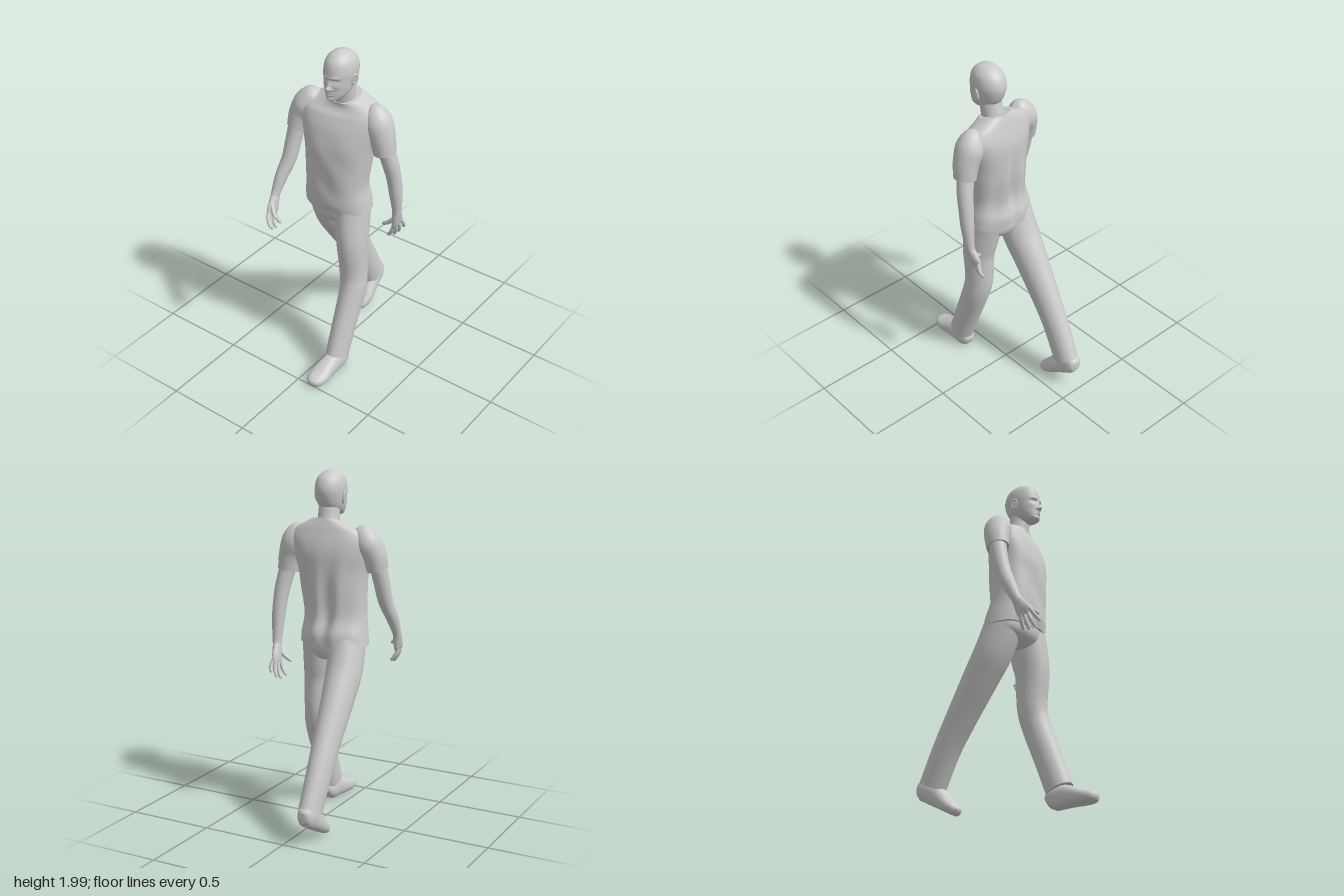
import * as THREE from 'three';

const material = new THREE.MeshStandardMaterial({ color: 0xcccccc, side: THREE.DoubleSide });

function spline(a, b, c, d, t) {
  return 0.5 * (2 * b + (c - a) * t + (2 * a - 5 * b + 4 * c - d) * t * t + (3 * b - a - 3 * c + d) * t * t * t);
}

// Smooth skin over rings [x, y, z, halfWidth, halfDepth, yaw]; rings lie across the path, or level if asked
function loft(name, rings, { level = false, seg = 32, steps = 8, power = 2, deform } = {}) {
  const rows = [];
  const at = (i) => rings[Math.min(Math.max(i, 0), rings.length - 1)];
  for (let i = 0; i < (rings.length - 1) * steps + 1; i++) {
    const k = Math.min(Math.floor(i / steps), rings.length - 2);
    const t = i / steps - k;
    rows.push([0, 1, 2, 3, 4, 5].map((c) =>
      spline(at(k - 1)[c] || 0, at(k)[c] || 0, at(k + 1)[c] || 0, at(k + 2)[c] || 0, t)));
  }
  const pos = [], index = [];
  const centre = (r) => new THREE.Vector3(r[0], r[1], r[2]);
  rows.forEach((r, i) => {
    const next = rows[Math.min(i + 1, rows.length - 1)], prev = rows[Math.max(i - 1, 0)];
    const along = level ? new THREE.Vector3(0, Math.sign(next[1] - prev[1]), 0)
      : centre(next).sub(centre(prev)).normalize();
    const side = new THREE.Vector3(Math.cos(r[5]), 0, -Math.sin(r[5]));
    side.addScaledVector(along, -side.dot(along)).normalize();
    const front = side.clone().cross(along);
    for (let j = 0; j < seg; j++) {
      const a = (j / seg) * Math.PI * 2, c = Math.cos(a), s = Math.sin(a);
      const p = centre(r)
        .addScaledVector(side, Math.sign(c) * Math.abs(c) ** (2 / power) * r[3])
        .addScaledVector(front, Math.sign(s) * Math.abs(s) ** (2 / power) * r[4]);
      if (deform) deform(p, r);
      pos.push(p.x, p.y, p.z);
      if (i < rows.length - 1) {
        const q = i * seg + j, n = i * seg + (j + 1) % seg;
        index.push(q, q + seg, n, n, q + seg, n + seg);
      }
    }
  });
  // Flat ends with their own vertices, so the rims stay crisp
  for (const [row, flip] of [[0, false], [rows.length - 1, true]]) {
    const start = pos.length / 3, mid = [0, 0, 0];
    for (let j = 0; j < seg; j++) {
      for (let c = 0; c < 3; c++) {
        const v = pos[(row * seg + j) * 3 + c];
        pos.push(v);
        mid[c] += v / seg;
      }
    }
    pos.push(...mid);
    for (let j = 0; j < seg; j++) {
      const a = start + j, b = start + (j + 1) % seg;
      index.push(start + seg, flip ? b : a, flip ? a : b);
    }
  }
  const g = new THREE.BufferGeometry();
  g.setAttribute('position', new THREE.Float32BufferAttribute(pos, 3));
  g.setIndex(index);
  g.computeVertexNormals();
  const mesh = new THREE.Mesh(g, material);
  mesh.name = name;
  return mesh;
}

const bump = (x, y, sx, sy) => Math.exp(-((x / sx) ** 2) - (y / sy) ** 2);

// Face relief: [side offset, height, push, width, tallness]
const FACE = [
  [0, 1.845, 0.01, 0.01, 0.025], [0, 1.819, 0.022, 0.013, 0.013], [0.014, 1.814, 0.008, 0.008, 0.008],
  [0.03, 1.88, 0.006, 0.022, 0.008], [0.031, 1.861, -0.012, 0.017, 0.011], [0.031, 1.859, 0.007, 0.011, 0.006],
  [0, 1.794, 0.007, 0.02, 0.005], [0, 1.781, 0.008, 0.018, 0.006], [0, 1.757, 0.006, 0.022, 0.012],
  [0.045, 1.832, 0.004, 0.02, 0.018],
];

function buildHead() {
  const head = new THREE.Group();
  head.name = 'head';
  const X = 0.03;
  head.add(loft('skull', [
    [X, 1.738, 0.175, 0.012, 0.02], [X, 1.75, 0.166, 0.038, 0.05], [X, 1.77, 0.145, 0.056, 0.074],
    [X, 1.8, 0.126, 0.069, 0.094], [X, 1.85, 0.114, 0.078, 0.107], [X, 1.9, 0.11, 0.082, 0.11],
    [X, 1.95, 0.112, 0.073, 0.094], [X, 1.983, 0.115, 0.048, 0.06], [X, 1.996, 0.117, 0.022, 0.028],
    [X, 2.0, 0.117, 0.002, 0.002],
  ], {
    level: true, seg: 96, steps: 12, power: 2.1,
    deform(p, r) {
      if (p.z < r[2]) return;
      const facing = Math.min(1, (p.z - r[2]) / 0.04), x = Math.abs(p.x - X), y = p.y;
      for (const [fx, fy, push, sx, sy] of FACE) p.z += facing * push * bump(x - fx, y - fy, sx, sy);
    },
  }));
  head.add(loft('neck', [[0.02, 1.63, 0.065, 0.075, 0.072], [0.025, 1.7, 0.075, 0.064, 0.066],
    [X, 1.76, 0.087, 0.06, 0.062], [X, 1.84, 0.1, 0.058, 0.06]], { level: true }));
  for (const s of [-1, 1]) {
    const ear = new THREE.Group();
    ear.name = s > 0 ? 'leftEar' : 'rightEar';
    const rim = new THREE.Mesh(new THREE.TorusGeometry(0.017, 0.006, 10, 28), material);
    const bowl = new THREE.Mesh(new THREE.SphereGeometry(0.017, 20, 12), material);
    rim.scale.y = bowl.scale.y = 1.6;
    bowl.scale.z = 0.25;
    ear.add(rim, bowl);
    ear.position.set(X + s * 0.082, 1.85, 0.107);
    ear.rotation.set(0.15, s * (Math.PI / 2 - 0.35), 0, 'YXZ');
    head.add(ear);
  }
  return head;
}

// Shirt body with soft folds, a wavy hem and a collar dipping to the front
function buildShirt() {
  return loft('shirtBody', [
    [-0.012, 1.035, 0.078, 0.2, 0.138, -0.05], [-0.01, 1.1, 0.085, 0.192, 0.145, -0.02],
    [-0.008, 1.2, 0.099, 0.18, 0.135, 0.03], [0, 1.35, 0.094, 0.189, 0.142, 0.09],
    [0.003, 1.45, 0.091, 0.2, 0.143, 0.13], [0.005, 1.55, 0.08, 0.223, 0.132, 0.15],
    [0.01, 1.62, 0.07, 0.232, 0.112, 0.15], [0.015, 1.67, 0.065, 0.2, 0.092, 0.13],
    [0.02, 1.705, 0.065, 0.135, 0.08, 0.1], [0.025, 1.728, 0.068, 0.085, 0.076, 0.05],
  ], {
    level: true, seg: 96, power: 2.35,
    deform(p, r) {
      const dx = p.x - r[0], back = p.z < r[2];
      const fade = bump(0, p.y - 1.27, 1, 0.22) * (1 - Math.min(1, Math.abs(dx) / 0.2));
      if (back) p.z += fade * (0.014 * Math.sin(dx * 48 + p.y * 7) + 0.012 * bump(dx, 0, 0.04, 1));
      else p.z += fade * 0.005 * Math.sin(dx * 26 + p.y * 24);
      const hem = THREE.MathUtils.smoothstep(1.12 - p.y, 0, 0.085);
      p.y += hem * (0.006 * Math.sin(dx * 30) + 0.04 * dx);
      p.y -= 0.3 * (p.z - 0.05) * THREE.MathUtils.smoothstep(p.y, 1.62, 1.72);
    },
  });
}

// Sleeve, bare arm, palm and digits; each digit is [knuckle, tip]
function buildArm(name, sleeve, arm, digits, outward) {
  const group = new THREE.Group();
  group.name = name;
  group.add(loft('sleeve', sleeve), loft('forearmAndPalm', arm));
  digits.forEach(([a, b], i) => {
    const thumb = i === 0, r = thumb ? 0.0125 : 0.0105;
    const mix = (t, bow) => a.map((v, c) => v + (b[c] - v) * t + (c === 0 ? outward * bow : 0));
    group.add(loft(thumb ? 'thumb' : 'finger', [
      [...mix(-0.2, 0), r, r], [...mix(0.3, 0.008), r * 1.05, r * 1.05], [...mix(0.6, 0.008), r, r],
      [...mix(0.9, 0.002), r * 0.8, r * 0.8], [...mix(1, 0), r * 0.25, r * 0.25],
    ], { seg: 14, steps: 5 }));
  });
  return group;
}

// Shoe, heel at the origin, toe toward +z, sole on y = 0
function buildShoe(name) {
  const shoe = loft(name, [
    [0, 0.045, 0, 0.015, 0.02], [0, 0.05, 0.01, 0.036, 0.042], [0, 0.06, 0.04, 0.047, 0.062],
    [-0.003, 0.062, 0.1, 0.05, 0.066], [-0.008, 0.05, 0.17, 0.056, 0.054], [-0.01, 0.037, 0.23, 0.06, 0.042],
    [-0.008, 0.031, 0.28, 0.05, 0.033], [-0.006, 0.029, 0.305, 0.03, 0.022], [-0.005, 0.028, 0.313, 0.006, 0.006],
  ], { power: 2.3, deform: (p) => { p.y = Math.max(p.y, 0.002); } });
  return shoe;
}

export function createModel() {
  const model = new THREE.Group();
  model.name = 'walkingMan';
  model.add(buildHead(), buildShirt());

  // Arms: left swings back, right swings forward
  model.add(buildArm('leftArm',
    [[0.165, 1.683, 0.045, 0.02, 0.02], [0.185, 1.66, 0.043, 0.06, 0.055], [0.217, 1.6, 0.042, 0.079, 0.08],
      [0.247, 1.52, 0.042, 0.07, 0.074], [0.262, 1.43, 0.038, 0.061, 0.066]],
    [[0.258, 1.47, 0.037, 0.048, 0.05], [0.282, 1.36, 0.015, 0.045, 0.047], [0.294, 1.26, -0.005, 0.041, 0.043],
      [0.3, 1.15, -0.02, 0.036, 0.039], [0.3, 1.03, -0.035, 0.025, 0.03], [0.295, 0.99, -0.043, 0.023, 0.036],
      [0.287, 0.94, -0.06, 0.02, 0.045], [0.279, 0.905, -0.07, 0.012, 0.04]],
    [[[0.278, 0.965, -0.025], [0.213, 0.912, -0.022]], [[0.275, 0.915, -0.036], [0.235, 0.828, -0.045]],
      [[0.278, 0.91, -0.058], [0.25, 0.82, -0.082]], [[0.283, 0.912, -0.08], [0.262, 0.83, -0.108]],
      [[0.288, 0.922, -0.1], [0.285, 0.862, -0.13]]], 1));
  model.add(buildArm('rightArm',
    [[-0.145, 1.69, 0.085, 0.02, 0.02], [-0.165, 1.665, 0.09, 0.06, 0.055], [-0.203, 1.605, 0.1, 0.079, 0.08],
      [-0.237, 1.54, 0.115, 0.069, 0.073], [-0.252, 1.46, 0.132, 0.059, 0.066]],
    [[-0.252, 1.5, 0.128, 0.048, 0.05], [-0.266, 1.38, 0.155, 0.045, 0.047], [-0.275, 1.27, 0.19, 0.041, 0.043],
      [-0.293, 1.17, 0.24, 0.035, 0.038], [-0.3, 1.08, 0.285, 0.025, 0.029], [-0.297, 1.045, 0.303, 0.023, 0.035],
      [-0.291, 1.0, 0.327, 0.02, 0.045], [-0.286, 0.968, 0.343, 0.012, 0.04]],
    [[[-0.283, 1.035, 0.335], [-0.222, 0.985, 0.382]], [[-0.282, 0.985, 0.375], [-0.243, 0.928, 0.405]],
      [[-0.284, 0.975, 0.355], [-0.255, 0.9, 0.378]], [[-0.287, 0.968, 0.335], [-0.256, 0.89, 0.343]],
      [[-0.29, 0.968, 0.315], [-0.256, 0.9, 0.304]]], -1));

  // Trousers: seat plus two legs
  const trousers = new THREE.Group();
  trousers.name = 'trousers';
  trousers.add(loft('seat', [[-0.01, 1.12, 0.085, 0.17, 0.12], [-0.01, 1.03, 0.082, 0.186, 0.127],
    [-0.008, 0.98, 0.08, 0.165, 0.115], [0, 0.945, 0.075, 0.09, 0.08], [0, 0.935, 0.07, 0.02, 0.03]], { level: true }));
  trousers.add(loft('leftLeg', [[0.085, 1.06, 0.085, 0.095, 0.12], [0.1, 0.9, 0.107, 0.088, 0.11],
    [0.108, 0.8, 0.116, 0.083, 0.1], [0.112, 0.62, 0.11, 0.077, 0.088], [0.121, 0.5, 0.133, 0.073, 0.083],
    [0.118, 0.3, 0.208, 0.066, 0.08], [0.116, 0.115, 0.276, 0.062, 0.079]]));
  trousers.add(loft('rightLeg', [[-0.1, 1.06, 0.07, 0.1, 0.115], [-0.112, 0.9, 0.005, 0.102, 0.112],
    [-0.117, 0.77, -0.072, 0.092, 0.107], [-0.119, 0.57, -0.195, 0.077, 0.095], [-0.12, 0.39, -0.3, 0.068, 0.086],
    [-0.116, 0.19, -0.397, 0.061, 0.086]]));
  model.add(trousers);

  // Shoes: front one flat, rear one pushing off its toe
  const leftShoe = buildShoe('leftShoe');
  leftShoe.position.set(0.114, 0.008, 0.203);
  const rightShoe = buildShoe('rightShoe');
  rightShoe.scale.x = -1;
  rightShoe.position.set(-0.117, 0.15, -0.51);
  rightShoe.rotation.x = 0.5;
  model.add(leftShoe, rightShoe);
  return model;
}
